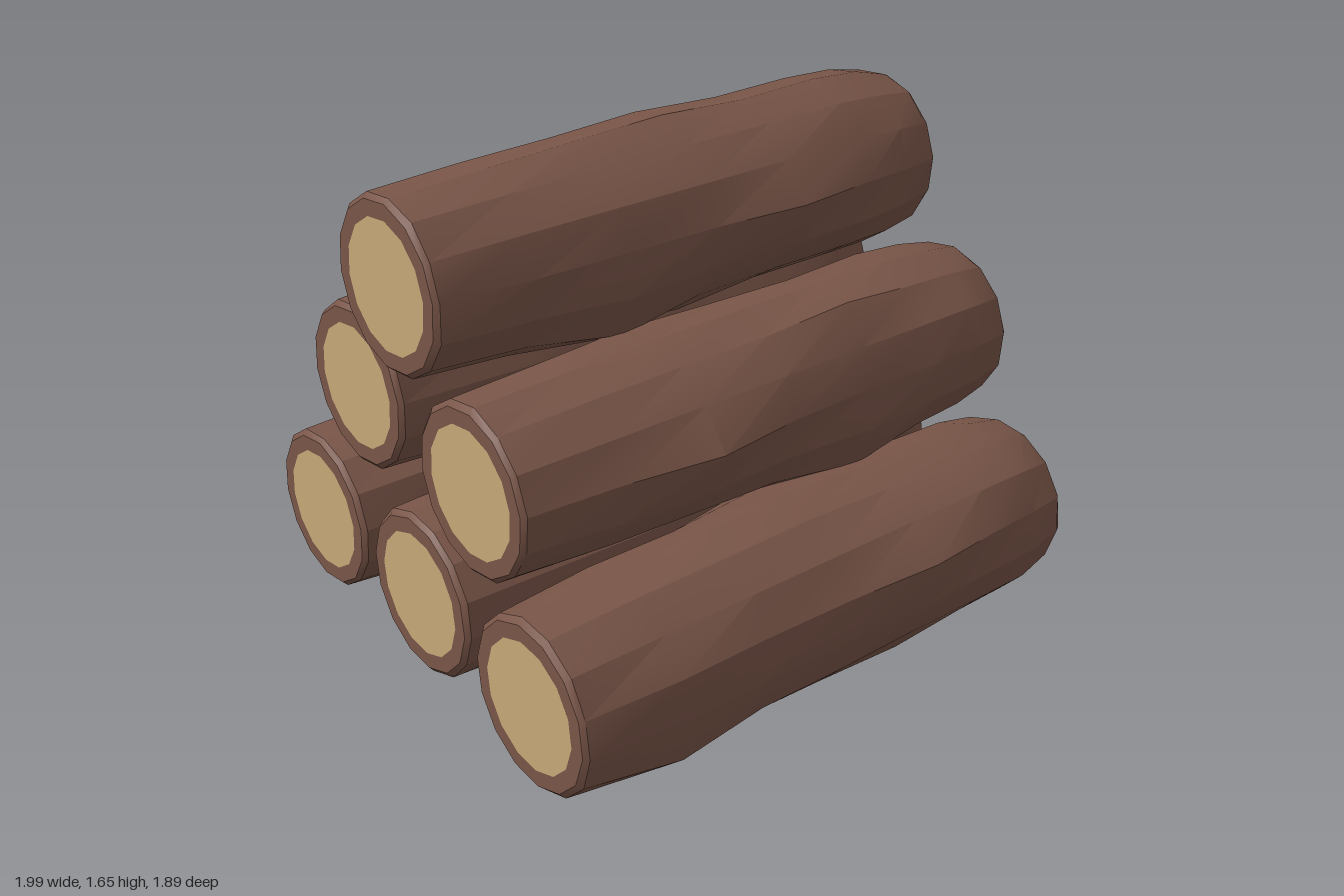
import * as THREE from 'three';
import { toCreasedNormals } from 'three/addons/utils/BufferGeometryUtils.js';

const SIDES = 14, HALF = 0.94, CAP_R = 0.2;
const rad = THREE.MathUtils.degToRad;

// Rings along a log: [x, radius, unevenness]
const RINGS = [
  [-HALF, CAP_R, 0], [-HALF, 0.25, 0], [-0.925, 0.265, 0.004], [-0.62, 0.28, 0.012],
  [-0.31, 0.285, 0.012], [0, 0.29, 0.012], [0.31, 0.285, 0.012], [0.6, 0.288, 0.012],
  [0.79, 0.283, 0.008], [0.925, 0.26, 0.004], [HALF, 0.25, 0], [HALF, CAP_R, 0],
];

// Each log: middle, and knots as [x along log, angle from front towards up, radius]
const LOGS = [
  { name: 'bottomFrontLog', at: [-0.06, 0.35, 0.63],
    knots: [[0.31, 20, 0.335], [0.31, 280, 0.345], [-0.62, 285, 0.315], [0, 229, 0.33], [0, 142, 0.335], [-0.62, 328, 0.32], [0, 90, 0.31]] },
  { name: 'bottomMiddleLog', at: [0, 0.35, -0.03],
    knots: [[0.31, 97, 0.34], [0, 202, 0.315], [-0.31, 270, 0.31], [0.6, 33, 0.325], [0, 328, 0.31]] },
  { name: 'bottomBackLog', at: [0.02, 0.35, -0.65],
    knots: [[0.31, 111, 0.335], [0, 184, 0.3], [0.31, 0, 0.33], [-0.31, 249, 0.31], [0, 292, 0.31], [-0.31, 45, 0.32]] },
  { name: 'middleFrontLog', at: [0, 0.84, 0.29],
    knots: [[-0.31, 8, 0.345], [0.31, 61, 0.33], [0, 270, 0.33], [0.31, 326, 0.335], [-0.31, 110, 0.3], [-0.31, 215, 0.31]] },
  { name: 'middleBackLog', at: [0.05, 0.88, -0.41],
    knots: [[-0.31, 111, 0.31], [0.31, 170, 0.31], [0.31, 220, 0.34], [0, 275, 0.34], [-0.31, 330, 0.32]] },
  { name: 'topLog', at: [-0.03, 1.35, -0.04],
    knots: [[0.31, 7, 0.335], [0, 95, 0.31], [0.6, 85, 0.305], [0, 188, 0.3], [0.31, 219, 0.335], [-0.31, 326, 0.34], [0, 268, 0.345]] },
];

function seeded(seed) {
  return () => {
    seed = (seed * 16807) % 2147483647;
    return seed / 2147483647;
  };
}

// Bark skin lofted through the rings, pushed out around each knot
function barkGeometry(knots, phase, random) {
  const positions = [], index = [];
  RINGS.forEach(([x, base, rough], i) => {
    for (let j = 0; j < SIDES; j++) {
      const angle = phase + (j / SIDES) * Math.PI * 2;
      let r = base + (random() - 0.5) * 2 * rough;
      if (Math.abs(x) < 0.9) {
        for (const [kx, deg, kr] of knots) {
          const turn = angle - rad(deg);
          const da = Math.abs(Math.atan2(Math.sin(turn), Math.cos(turn)));
          const near = Math.max(0, 1 - da / 0.6) * Math.max(0, 1 - Math.abs(x - kx) / 0.36);
          const boost = da < 0.23 && Math.abs(x - kx) < 0.05 ? 1 : near;
          r = Math.max(r, base + (kr - base) * boost);
        }
      }
      positions.push(x, Math.sin(angle) * r, Math.cos(angle) * r);
      if (i < RINGS.length - 1) {
        const k = (j + 1) % SIDES;
        const a = i * SIDES + j, b = a + SIDES, c = (i + 1) * SIDES + k, d = i * SIDES + k;
        index.push(a, b, c, a, c, d);
      }
    }
  });
  const geometry = new THREE.BufferGeometry();
  geometry.setAttribute('position', new THREE.Float32BufferAttribute(positions, 3));
  geometry.setIndex(index);
  return toCreasedNormals(geometry, 0.4);
}

export function createModel() {
  const model = new THREE.Group();
  model.name = 'logPile';
  const bark = new THREE.MeshStandardMaterial({ color: 0x795548 });
  const wood = new THREE.MeshStandardMaterial({ color: 0xc8a977 });

  LOGS.forEach(({ name, at, knots }, n) => {
    const log = new THREE.Group();
    log.name = name;
    log.position.set(...at);
    const phase = rad(knots[0][1]);

    const skin = new THREE.Mesh(barkGeometry(knots, phase, seeded(101 + n * 977)), bark);
    skin.name = 'bark';
    log.add(skin);

    // Cut wood at both ends, lined up with the bark's sides
    for (const side of [-1, 1]) {
      const start = side > 0 ? Math.PI - phase : phase;
      const cut = new THREE.Mesh(new THREE.CircleGeometry(CAP_R, SIDES, start), wood);
      cut.name = side > 0 ? 'leftCutEnd' : 'rightCutEnd';
      cut.rotation.y = side * Math.PI / 2;
      cut.position.x = side * HALF;
      log.add(cut);
    }
    model.add(log);
  });
  return model;
}
